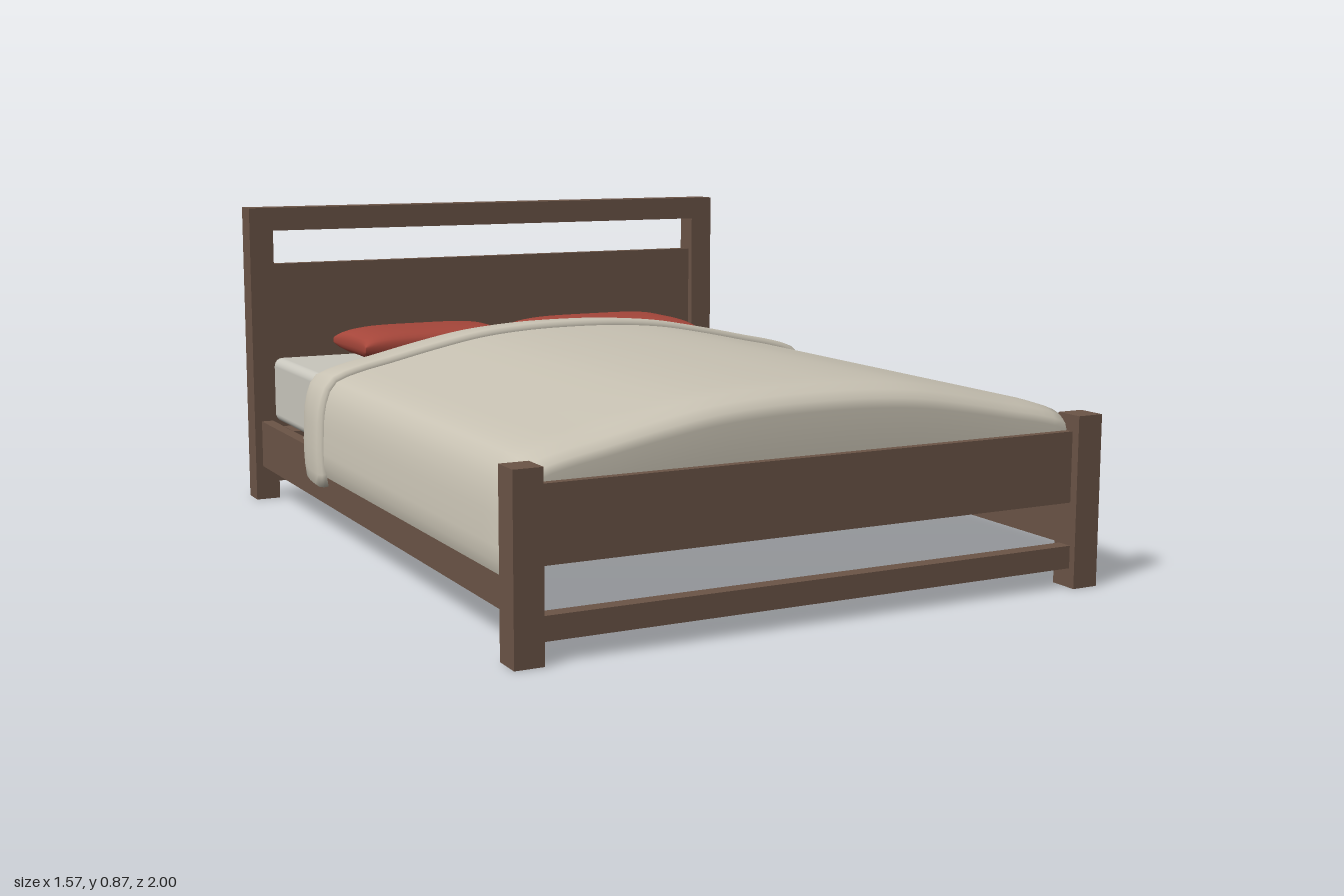
import * as THREE from 'three';
import { mergeVertices } from 'three/addons/utils/BufferGeometryUtils.js';
import { RoundedBoxGeometry } from 'three/addons/geometries/RoundedBoxGeometry.js';

const V3 = (x, y, z) => new THREE.Vector3(x, y, z);

// Smooth surface through equal-length rows of points
function loft(rows) {
  const n = rows[0].length, index = [];
  for (let i = 0; i < rows.length - 1; i++) {
    for (let j = 0; j < n - 1; j++) {
      const a = i * n + j, b = a + n;
      index.push(a, b, a + 1, b, b + 1, a + 1);
    }
  }
  const geo = new THREE.BufferGeometry().setFromPoints(rows.flat());
  geo.setIndex(index);
  geo.computeVertexNormals();
  return geo;
}

// Crosswise outline of the bedding: domed on top, hanging at the sides
function beddingCurve(hem) {
  const half = [[0.14, 0.537], [0.28, 0.525], [0.42, 0.5], [0.55, 0.472], [0.66, 0.448],
    [0.72, 0.425], [0.75, 0.37], [0.765, 0.28], ...hem];
  const pts = [...half.map(([x, y]) => V3(-x, y, 0)).reverse(), V3(0, 0.54, 0),
    ...half.map(([x, y]) => V3(x, y, 0))];
  return new THREE.CatmullRomCurve3(pts);
}

// How far the bedding's head end slants towards the foot as it hangs
const slant = y => Math.max(0, 0.54 - y) * 0.23;

function duvetGeometry() {
  const outline = beddingCurve([[0.769, 0.2], [0.76, 0.18]]).getSpacedPoints(60);
  // z, height factor, width factor
  const stations = [[-0.51, 1, 1], [-0.2, 1, 1], [0.2, 1, 1], [0.6, 1, 1], [0.82, 1, 1], [0.89, 0.985, 1],
    [0.93, 0.95, 0.99], [0.95, 0.9, 0.98], [0.958, 0.84, 0.972], [0.957, 0.6, 0.97], [0.955, 0.25, 0.97]];
  return loft(stations.map(([z, f, g], i) => outline.map(p =>
    V3(p.x * g, 0.18 + (p.y - 0.18) * f, z + (i === 0 ? slant(p.y) : 0)))));
}

function foldGeometry() {
  const curve = beddingCurve([[0.77, 0.2], [0.768, 0.16]]);
  // z, offset from the duvet, share of the depth down to the mattress
  const section = [[-0.345, -0.005, 0], [-0.343, 0.008, 0], [-0.355, 0.016, 0], [-0.4, 0.015, 0],
    [-0.46, 0.01, 0], [-0.51, 0.002, 0], [-0.54, 0, 0.18], [-0.553, 0, 0.42], [-0.545, 0, 1]];
  const rows = [];
  for (let i = 0; i <= 64; i++) {
    const p = curve.getPointAt(i / 64), t = curve.getTangentAt(i / 64);
    const depth = Math.max(0.03, p.y - 0.42);
    rows.push(section.map(([z, out, share]) => {
      const n = out - share * depth;
      return V3(p.x - t.y * n, p.y + t.x * n, z + slant(p.y));
    }));
  }
  // closed hems
  const cap = row => {
    const c = row.reduce((s, p) => s.add(p), V3(0, 0, 0)).divideScalar(row.length);
    return row.map(() => c.clone());
  };
  return loft([cap(rows[0]), ...rows, cap(rows[rows.length - 1])]);
}

// Cushion with pulled-out corners, slightly hollow edges and a full middle
function pillowGeometry(halfW, halfH, halfD) {
  let geo = new THREE.BoxGeometry(2, 2, 2, 24, 2, 18);
  geo.deleteAttribute('normal');
  geo.deleteAttribute('uv');
  geo = mergeVertices(geo);
  const pos = geo.attributes.position;
  for (let i = 0; i < pos.count; i++) {
    const u = Math.sin(pos.getX(i) * Math.PI / 2), v = Math.sin(pos.getZ(i) * Math.PI / 2);
    const puff = Math.pow(Math.max(0, (1 - u ** 4) * (1 - v ** 4)), 0.42);
    pos.setXYZ(i,
      u * halfW * (1 - 0.045 * (1 - v * v)),
      pos.getY(i) * halfH * (0.14 + 0.86 * puff),
      v * halfD * (1 - 0.07 * (1 - u * u)));
  }
  geo.computeVertexNormals();
  return geo;
}

export function createModel() {
  const bed = new THREE.Group();
  bed.name = 'bed';
  const wood = new THREE.MeshStandardMaterial({ color: 0x6b5446 });
  const linen = new THREE.MeshStandardMaterial({ color: 0xc8c2b3, side: THREE.DoubleSide });
  const sheet = new THREE.MeshStandardMaterial({ color: 0xc8c6bd });
  const red = new THREE.MeshStandardMaterial({ color: 0xa5463a });
  wood.name = 'brown wood';
  linen.name = 'warm linen';
  sheet.name = 'pale sheet';
  red.name = 'red fabric';

  const add = (name, geo, mat, x = 0, y = 0, z = 0) => {
    const mesh = new THREE.Mesh(geo, mat);
    mesh.name = name;
    mesh.position.set(x, y, z);
    bed.add(mesh);
  };
  // Box given by its lower and upper limits
  const plank = (name, x0, x1, y0, y1, z0, z1) =>
    add(name, new THREE.BoxGeometry(x1 - x0, y1 - y0, z1 - z0), wood, (x0 + x1) / 2, (y0 + y1) / 2, (z0 + z1) / 2);

  // Posts and side rails, mirrored
  for (const [side, s] of [['left', 1], ['right', -1]]) {
    const span = (a, b) => (s > 0 ? [a, b] : [-b, -a]);
    plank(side + 'HeadPost', ...span(0.703, 0.773), 0, 0.8, -1, -0.925);
    plank(side + 'FootPost', ...span(0.703, 0.773), 0, 0.425, 0.925, 1);
    plank(side + 'SideRail', ...span(0.718, 0.752), 0.1, 0.235, -0.93, 0.93);
  }

  // Headboard
  plank('headTopRail', -0.773, 0.773, 0.8, 0.867, -1, -0.925);
  plank('headPanel', -0.71, 0.71, 0.21, 0.7, -0.978, -0.947);
  plank('headLowerRail', -0.71, 0.71, 0.048, 0.104, -0.982, -0.943);

  // Footboard
  plank('footPanel', -0.71, 0.71, 0.21, 0.385, 0.945, 0.978);
  plank('footLowerRail', -0.71, 0.71, 0.048, 0.104, 0.943, 0.982);

  // Slats under the mattress
  for (let i = 0; i < 9; i++) {
    const z = -0.76 + i * 0.195;
    plank('slat', -0.72, 0.72, 0.21, 0.236, z - 0.05, z + 0.05);
  }

  // Bedding
  add('mattress', new RoundedBoxGeometry(1.43, 0.19, 1.85, 4, 0.025), sheet, 0, 0.33, 0);
  add('duvet', duvetGeometry(), linen);
  add('duvetFold', foldGeometry(), linen);
  add('rightPillow', pillowGeometry(0.245, 0.048, 0.147), red, -0.285, 0.469, -0.765);
  add('leftPillow', pillowGeometry(0.273, 0.048, 0.147), red, 0.289, 0.469, -0.765);

  return bed;
}
